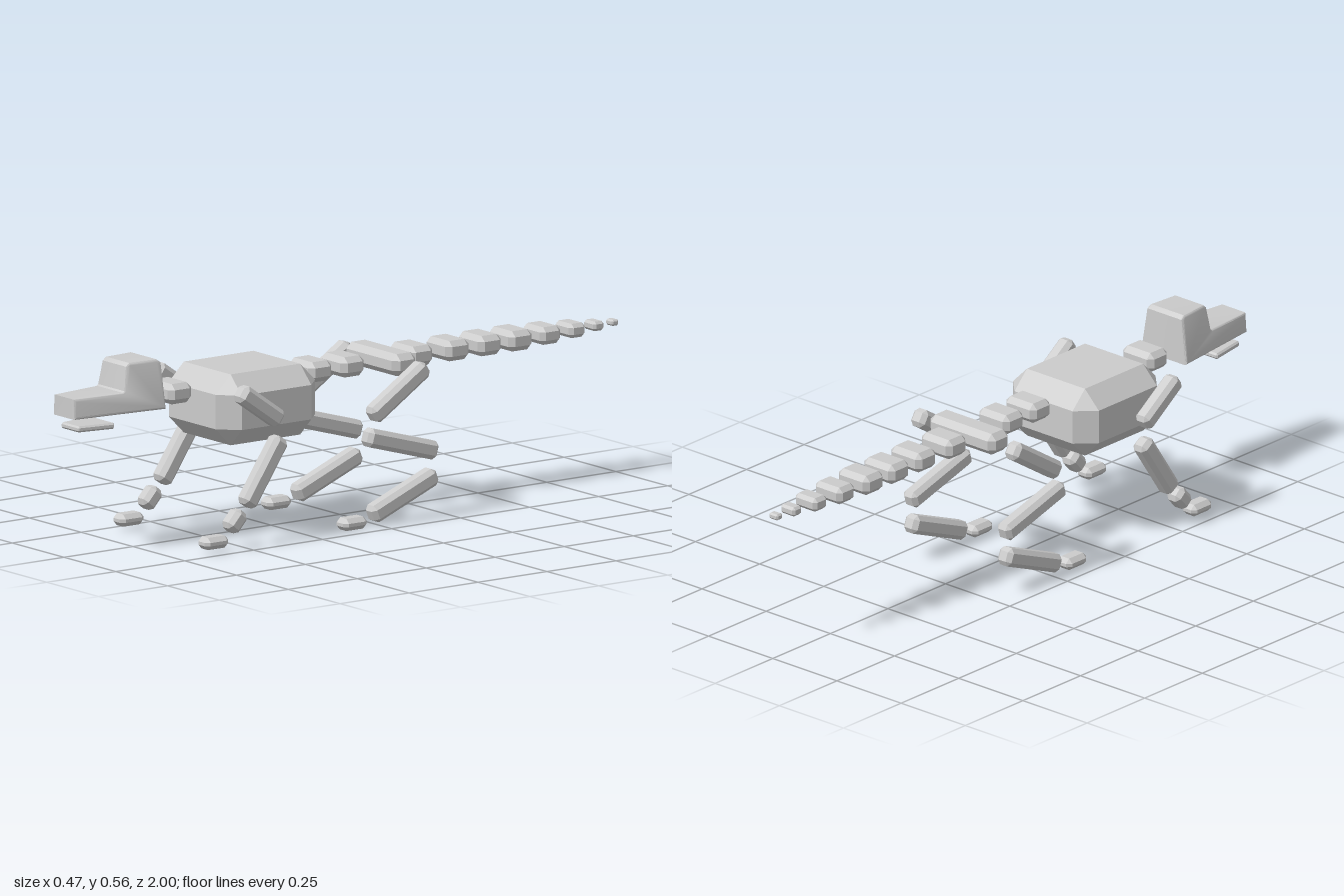
import * as THREE from 'three';
import { ConvexGeometry } from 'three/addons/geometries/ConvexGeometry.js';
import { toCreasedNormals } from 'three/addons/utils/BufferGeometryUtils.js';

const material = new THREE.MeshStandardMaterial({ color: 0xcccccc, flatShading: true });
const smooth = new THREE.MeshStandardMaterial({ color: 0xcccccc });

// Box with every edge and corner cut; taper narrows the front end
function chamferBox(w, h, d, c, taper = 1) {
  const points = [];
  for (const sx of [-1, 1]) for (const sy of [-1, 1]) for (const sz of [-1, 1]) {
    const x = w / 2, y = h / 2, z = d / 2;
    const k = sz > 0 ? taper : 1;
    points.push(
      new THREE.Vector3(sx * x * k, sy * (y - c), sz * (z - c)),
      new THREE.Vector3(sx * (x * k - c), sy * y, sz * (z - c)),
      new THREE.Vector3(sx * (x * k - c), sy * (y - c), sz * z));
  }
  return new ConvexGeometry(points);
}

function addPart(parent, name, geometry, x, y, z, pitch = 0, mat = material) {
  const mesh = new THREE.Mesh(geometry, mat);
  mesh.name = name;
  mesh.position.set(x, y, z);
  mesh.rotation.x = -THREE.MathUtils.degToRad(pitch); // positive lifts the front end
  parent.add(mesh);
}

// Stepped side profile, extruded, then narrowed toward the nose and crown
function headGeometry() {
  const b = 0.008;
  const profile = [[0.703, 0.428], [0.992, 0.428], [0.992, 0.472], [0.832, 0.474], [0.822, 0.482],
    [0.811, 0.552], [0.804, 0.558], [0.715, 0.558], [0.707, 0.552]];
  const shape = new THREE.Shape(profile.map(([z, y]) => new THREE.Vector2(z, y)));
  const geo = new THREE.ExtrudeGeometry(shape, {
    depth: 2 * (0.09 - b), bevelEnabled: true, bevelSize: b, bevelThickness: b, bevelSegments: 3,
  });
  geo.translate(0, 0, -(0.09 - b));
  geo.rotateY(-Math.PI / 2);
  const p = geo.attributes.position;
  for (let i = 0; i < p.count; i++) {
    const along = (p.getZ(i) - 0.695) / 0.305;
    const up = Math.max(0, p.getY(i) - 0.43) / 0.136;
    p.setX(i, p.getX(i) * (1 - 0.41 * along) * (1 - 0.24 * up));
  }
  return toCreasedNormals(geo, 0.6);
}

export function createModel() {
  const model = new THREE.Group();
  model.name = 'quadruped';

  // Head and jaw
  addPart(model, 'head', headGeometry(), 0, 0, 0, 0, smooth);
  addPart(model, 'jaw', chamferBox(0.122, 0.018, 0.12, 0.005, 0.7), 0, 0.387, 0.92);

  // Chest and hips
  addPart(model, 'chest', chamferBox(0.334, 0.21, 0.36, 0.054), 0, 0.395, 0.355);
  addPart(model, 'hips', chamferBox(0.255, 0.065, 0.085, 0.018), 0, 0.45, -0.148);

  // Neck and back segments
  const segment = chamferBox(0.12, 0.06, 0.085, 0.016);
  addPart(model, 'neck', segment, 0, 0.45, 0.616);
  [0.107, -0.01].forEach((z, i) => addPart(model, 'spine' + (i + 1), segment, 0, 0.45, z));

  // Tail segments, shrinking to the tip: z, width, height, length
  [[-0.258, 0.12, 0.06, 0.085], [-0.39, 0.12, 0.06, 0.085], [-0.507, 0.12, 0.06, 0.085],
    [-0.618, 0.12, 0.06, 0.085], [-0.731, 0.105, 0.052, 0.074], [-0.834, 0.085, 0.042, 0.058],
    [-0.92, 0.056, 0.028, 0.038], [-0.987, 0.034, 0.018, 0.025],
  ].forEach(([z, w, h, d], i) =>
    addPart(model, 'tail' + (i + 1), chamferBox(w, h, d, h * 0.26), 0, 0.45, z));

  // Legs: name, width, height, length, y, z, pitch
  const legs = {
    front: { x: 0.205, parts: [
      ['UpperLeg', 0.053, 0.055, 0.176, 0.418, 0.447, 35],
      ['LowerLeg', 0.053, 0.055, 0.225, 0.222, 0.434, -56],
      ['Ankle', 0.053, 0.05, 0.068, 0.089, 0.536, -48],
      ['Paw', 0.056, 0.036, 0.086, 0.036, 0.613, 0]] },
    hind: { x: 0.183, parts: [
      ['UpperLeg', 0.053, 0.055, 0.232, 0.391, -0.072, -33],
      ['MiddleLeg', 0.053, 0.055, 0.263, 0.236, -0.08, 16],
      ['LowerLeg', 0.053, 0.055, 0.25, 0.083, -0.088, -22],
      ['Paw', 0.056, 0.036, 0.086, 0.023, 0.095, 0]] },
  };
  for (const [end, { x, parts }] of Object.entries(legs)) {
    for (const side of [1, -1]) {
      const leg = new THREE.Group();
      leg.name = end + (side > 0 ? 'LeftLeg' : 'RightLeg');
      for (const [name, w, h, d, y, z, pitch] of parts) {
        addPart(leg, end + name, chamferBox(w, h, d, 0.013), side * x, y, z, pitch);
      }
      model.add(leg);
    }
  }
  return model;
}
